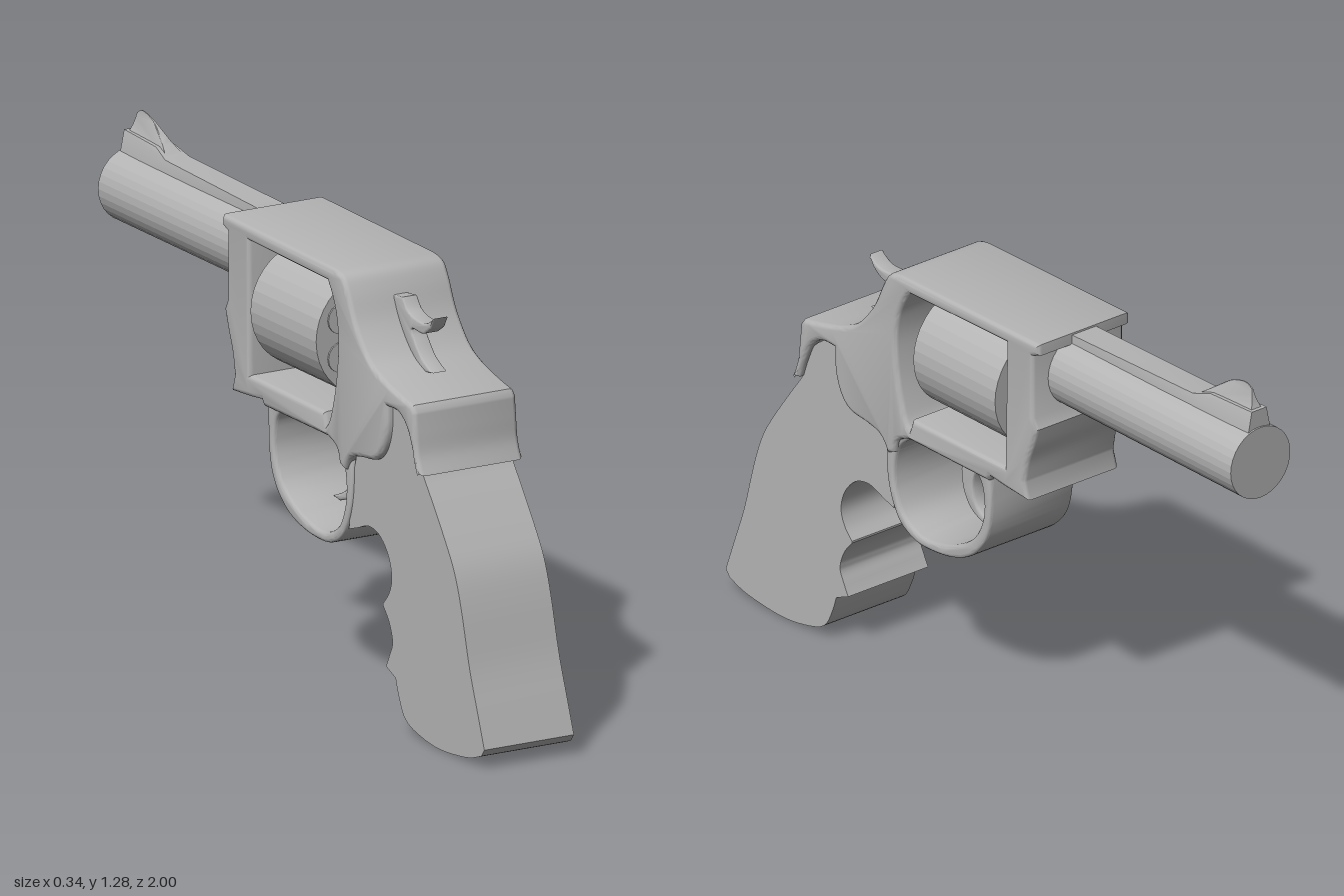
import * as THREE from 'three';
import { toCreasedNormals } from 'three/addons/utils/BufferGeometryUtils.js';

// Closed outline in (z, y) made of smooth runs that meet at corners.
function trace(path, runs) {
  path.moveTo(...runs[0][0]);
  runs.forEach((run, i) => {
    if (i > 0) path.lineTo(...run[0]);
    const rest = run.slice(1).map((p) => new THREE.Vector2(...p));
    if (rest.length === 1) path.lineTo(rest[0].x, rest[0].y);
    else path.splineThru(rest);
  });
  path.closePath();
  return path;
}
const outline = (runs) => trace(new THREE.Shape(), runs);
// Holes run the other way round, so that their walls face into the opening.
const hole = (runs) => trace(new THREE.Path(), runs.map((run) => [...run].reverse()).reverse());

// Side profile extruded evenly across x, with rounded edges.
function slab(shape, width, bevel = 0) {
  const geometry = new THREE.ExtrudeGeometry(shape, {
    depth: width - 2 * bevel,
    bevelEnabled: bevel > 0,
    bevelThickness: bevel,
    bevelSize: bevel,
    bevelOffset: -bevel,
    bevelSegments: 3,
    curveSegments: 4,
  });
  geometry.translate(0, 0, -(width - 2 * bevel) / 2);
  geometry.rotateY(-Math.PI / 2);
  return toCreasedNormals(geometry, 0.7);
}

// Narrows a geometry in x between two heights, following a power curve.
function taper(geometry, yLow, yHigh, topScale, power) {
  const p = geometry.attributes.position;
  for (let i = 0; i < p.count; i++) {
    const t = THREE.MathUtils.clamp((p.getY(i) - yLow) / (yHigh - yLow), 0, 1);
    p.setX(i, p.getX(i) * (topScale + (1 - topScale) * (1 - t) ** power));
  }
  return toCreasedNormals(geometry, 0.7);
}

// Faceted cylinder lying along z.
function rod(radius, zFront, zBack, sides) {
  const geometry = new THREE.CylinderGeometry(radius, radius, zBack - zFront, sides);
  geometry.rotateX(Math.PI / 2);
  geometry.translate(0, 0, (zFront + zBack) / 2);
  const flat = geometry.toNonIndexed();
  flat.computeVertexNormals();
  return flat;
}

export function createModel() {
  const group = new THREE.Group();
  const steel = new THREE.MeshStandardMaterial({ color: 0xb4b4b4 });
  steel.name = 'plain grey';
  const add = (name, geometry, x = 0, y = 0) => {
    const mesh = new THREE.Mesh(geometry, steel);
    mesh.name = name;
    mesh.position.set(x, y, 0);
    group.add(mesh);
  };

  // Frame with the cylinder window and rear tang
  const frame = outline([
    [[-0.287, 1.192], [0.27, 1.185]],
    [[0.27, 1.185], [0.315, 1.175], [0.345, 1.135], [0.385, 1.055], [0.445, 0.985], [0.51, 0.95], [0.6, 0.925], [0.665, 0.912]],
    [[0.678, 0.895], [0.684, 0.84], [0.692, 0.78], [0.712, 0.73]],
    [[0.685, 0.735], [0.665, 0.79], [0.637, 0.845], [0.595, 0.875], [0.54, 0.877]],
    [[0.54, 0.877], [0.538, 0.81], [0.515, 0.75], [0.475, 0.715], [0.41, 0.705], [0.355, 0.69], [0.325, 0.65]],
    [[0.3, 0.66], [0.285, 0.7], [0.24, 0.72]],
    [[-0.08, 0.72], [-0.09, 0.735]],
    [[-0.15, 0.728], [-0.242, 0.722]],
    [[-0.228, 0.77], [-0.24, 0.83], [-0.262, 0.89], [-0.278, 0.94]],
    [[-0.262, 0.97], [-0.262, 1.15]],
    [[-0.287, 1.16], [-0.287, 1.18]],
  ]);
  frame.holes.push(hole([
    [[0.24, 1.145], [0.262, 1.11], [0.282, 1.06], [0.291, 0.985], [0.28, 0.88], [0.255, 0.785], [0.235, 0.75]],
    [[0.225, 0.783], [-0.148, 0.787]],
    [[-0.155, 1.152], [0.24, 1.145]],
  ]));
  add('frame', slab(frame, 0.316, 0.014));

  // Grip with finger grooves
  const grip = outline([
    [[0.57, 0.89], [0.65, 0.83], [0.685, 0.74], [0.735, 0.67], [0.8, 0.58], [0.85, 0.5], [0.885, 0.405], [0.925, 0.26], [0.965, 0.15], [1.0, 0.055]],
    [[0.985, 0.035], [0.91, 0.012], [0.77, 0.0], [0.66, 0.015], [0.6, 0.04], [0.57, 0.09], [0.553, 0.138]],
    [[0.505, 0.158], [0.522, 0.19], [0.538, 0.23], [0.522, 0.28], [0.49, 0.32]],
    [[0.49, 0.325], [0.52, 0.36], [0.534, 0.405], [0.518, 0.46], [0.475, 0.505], [0.42, 0.518], [0.365, 0.5], [0.32, 0.485]],
    [[0.325, 0.56], [0.345, 0.65], [0.365, 0.72]],
    [[0.48, 0.78], [0.5, 0.89]],
  ]);
  add('grip', slab(grip, 0.274));

  // Trigger guard loop
  const guard = outline([
    [[0.33, 0.74], [0.347, 0.65], [0.337, 0.55], [0.3, 0.468], [0.245, 0.43], [0.185, 0.42], [0.09, 0.43], [0.01, 0.462], [-0.052, 0.525], [-0.077, 0.61], [-0.08, 0.735]],
  ]);
  guard.holes.push(hole([
    [[0.245, 0.717], [0.293, 0.675], [0.312, 0.61], [0.305, 0.54], [0.27, 0.478], [0.195, 0.447], [0.09, 0.465], [-0.005, 0.52], [-0.046, 0.6], [-0.043, 0.68], [-0.02, 0.717]],
  ]));
  add('triggerGuard', slab(guard, 0.288, 0.01));

  // Trigger
  add('trigger', slab(outline([
    [[0.24, 0.7], [0.19, 0.725], [0.1, 0.72]],
    [[0.105, 0.71], [0.12, 0.65], [0.138, 0.585], [0.118, 0.525], [0.05, 0.49]],
    [[0.08, 0.483], [0.14, 0.508], [0.175, 0.555], [0.185, 0.62], [0.17, 0.665], [0.225, 0.675]],
  ]), 0.045, 0.006));

  // Hammer with thumb spur
  add('hammer', slab(outline([
    [[0.555, 1.1], [0.515, 1.077], [0.465, 1.077], [0.425, 1.09], [0.4, 1.12]],
    [[0.355, 1.115], [0.36, 1.02], [0.48, 0.94]],
    [[0.55, 0.95], [0.5, 0.975], [0.465, 1.01], [0.445, 1.045], [0.5, 1.045], [0.54, 1.07]],
  ]), 0.046, 0.005));

  // Cylinder and the low case rims on its rear face
  add('cylinder', rod(0.168, -0.125, 0.205, 36), 0, 0.97);
  for (let i = 0; i < 6; i++) {
    const a = (i + 0.5) * Math.PI / 3;
    add('chamberRim', rod(0.042, 0.2, 0.21, 16), Math.cos(a) * 0.105, 0.97 + Math.sin(a) * 0.105);
  }

  // Barrel and the rib along its top
  add('barrel', rod(0.102, -1, -0.2, 32), 0, 1.07);
  const rib = slab(outline([
    [[-0.25, 1.14], [-0.25, 1.186]],
    [[-0.77, 1.197], [-0.83, 1.216]],
    [[-0.995, 1.222], [-0.995, 1.14]],
  ]), 0.084);
  add('barrelRib', taper(rib, 1.185, 1.222, 0.6, 1));

  // Front sight, narrowing towards its crest
  const sight = slab(outline([
    [[-0.77, 1.19], [-0.83, 1.232], [-0.885, 1.268], [-0.94, 1.283], [-0.968, 1.272]],
    [[-0.968, 1.272], [-0.978, 1.235], [-0.99, 1.205]],
  ]), 0.05);
  add('frontSight', taper(sight, 1.205, 1.285, 0.06, 2));

  return group;
}
